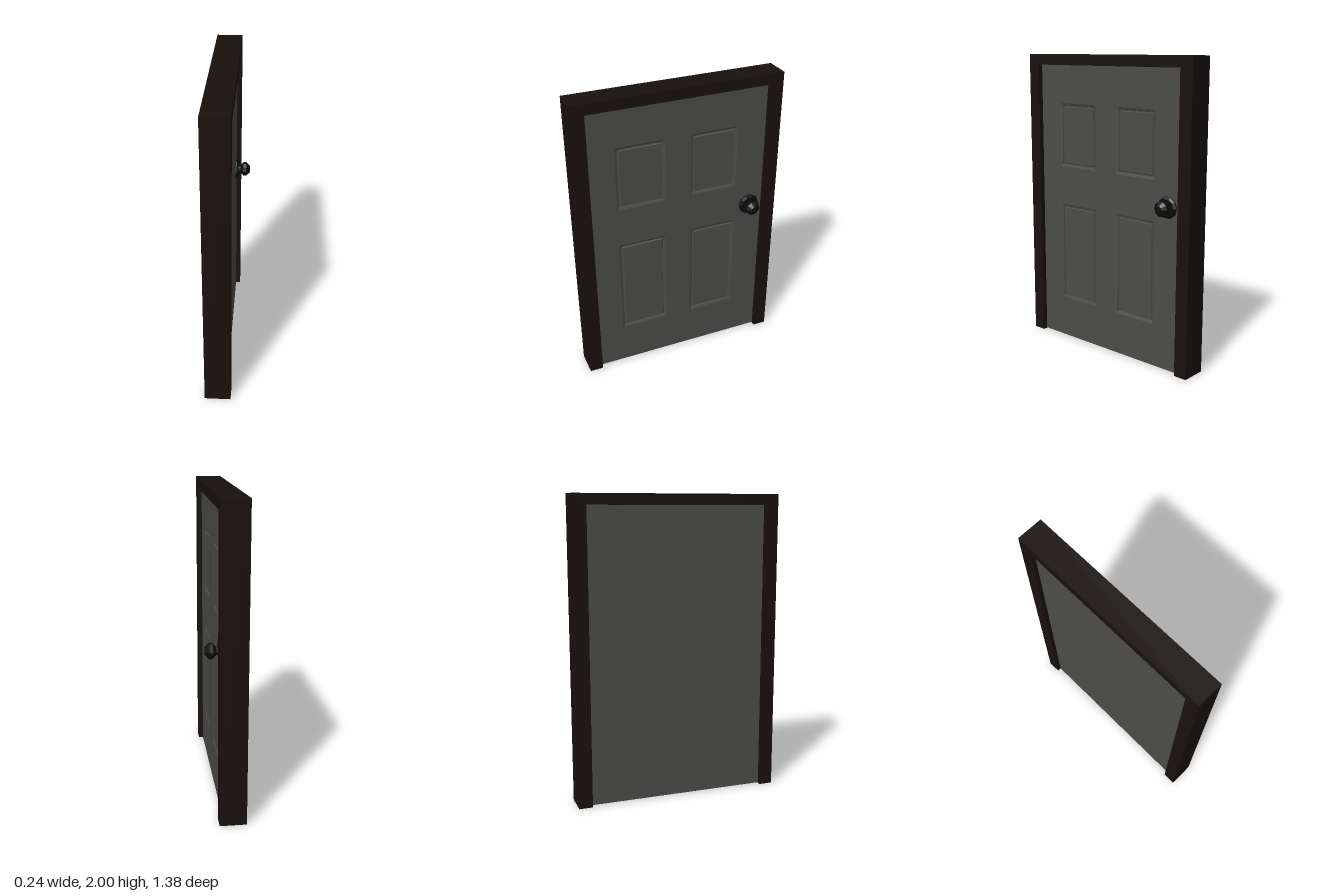
import * as THREE from 'three';

const FRONT = 0.02, BACK = -0.093; // door faces along x, recessed in the frame

const paint = (color, flat = true) => new THREE.MeshStandardMaterial({ color, flatShading: flat });

function add(parent, name, geometry, material) {
  const mesh = new THREE.Mesh(geometry, material);
  mesh.name = name;
  parent.add(mesh);
  return mesh;
}

// Shape drawn as (-z, y) and extruded along x from x0 to x1
function extrudeX(shape, x0, x1) {
  return new THREE.ExtrudeGeometry(shape, { depth: x1 - x0, bevelEnabled: false })
    .rotateY(Math.PI / 2).translate(x0, 0, 0);
}

const polygon = (points) => points.map(([u, y]) => new THREE.Vector2(u, y));

// Moulded panel: nested rectangles at [inset, depth], closed by a flat field
function panelGeometry({ u0, u1, y0, y1 }) {
  const steps = [[0, 0], [0.013, -0.005], [0.016, -0.014], [0.022, -0.014], [0.027, -0.004]];
  const rings = steps.map(([i, d]) => [
    [FRONT + d, y0 + i, -(u0 + i)], [FRONT + d, y0 + i, -(u1 - i)],
    [FRONT + d, y1 - i, -(u1 - i)], [FRONT + d, y1 - i, -(u0 + i)],
  ]);
  const pos = [];
  const quad = (a, b, c, d) => pos.push(...a, ...b, ...c, ...a, ...c, ...d);
  for (let r = 0; r < rings.length - 1; r++) {
    for (let k = 0; k < 4; k++) {
      const n = (k + 1) % 4;
      quad(rings[r][k], rings[r][n], rings[r + 1][n], rings[r + 1][k]);
    }
  }
  quad(...rings[rings.length - 1]);
  const geometry = new THREE.BufferGeometry();
  geometry.setAttribute('position', new THREE.Float32BufferAttribute(pos, 3));
  geometry.computeVertexNormals();
  return geometry;
}

export function createModel() {
  const model = new THREE.Group();
  model.name = 'door';
  const wood = paint(0x18110e), leafPaint = paint(0x4c4c49), metal = paint(0x0b0d0c);

  // Frame: two jambs and a head, open at the bottom
  const frame = new THREE.Shape(polygon([
    [-0.69, 0], [-0.6, 0], [-0.6, 1.93], [0.6, 1.93], [0.6, 0], [0.69, 0], [0.69, 2], [-0.69, 2],
  ]));
  add(model, 'frame', extrudeX(frame, -0.12, 0.05), wood);

  // Door leaf: plain core with a front layer cut out for the panels
  const leaf = new THREE.Group();
  leaf.name = 'doorLeaf';
  model.add(leaf);
  const layer = FRONT - 0.018;
  const core = new THREE.BoxGeometry(layer - BACK, 1.926, 1.2);
  core.translate((layer + BACK) / 2, 0.967, 0);
  add(leaf, 'leafCore', core, leafPaint);

  const face = new THREE.Shape(polygon([[-0.6, 0.004], [0.6, 0.004], [0.6, 1.93], [-0.6, 1.93]]));
  for (const [row, y0, y1] of [['upper', 1.24, 1.675], ['lower', 0.29, 0.975]]) {
    for (const [column, u0, u1] of [['Left', -0.425, -0.097], ['Right', 0.08, 0.402]]) {
      face.holes.push(new THREE.Path(polygon([[u0, y0], [u0, y1], [u1, y1], [u1, y0]])));
      add(leaf, `${row}${column}Panel`, panelGeometry({ u0, u1, y0, y1 }), leafPaint);
    }
  }
  add(leaf, 'leafFace', extrudeX(face, layer, FRONT), leafPaint);

  // Knob: rosette, neck and faceted grip turned about the x axis
  const turned = (points) => new THREE.LatheGeometry(polygon(points), 10).rotateZ(-Math.PI / 2);
  const knob = new THREE.Group();
  knob.name = 'doorKnob';
  knob.position.set(FRONT, 1.08, -0.505);
  model.add(knob);
  add(knob, 'rosette', turned([[0.071, 0], [0.071, 0.008], [0.055, 0.018], [0, 0.018]]), metal);
  add(knob, 'grip', turned([
    [0.024, 0.01], [0.024, 0.032], [0.049, 0.053], [0.049, 0.074], [0.024, 0.099], [0, 0.099],
  ]), metal);

  return model;
}
